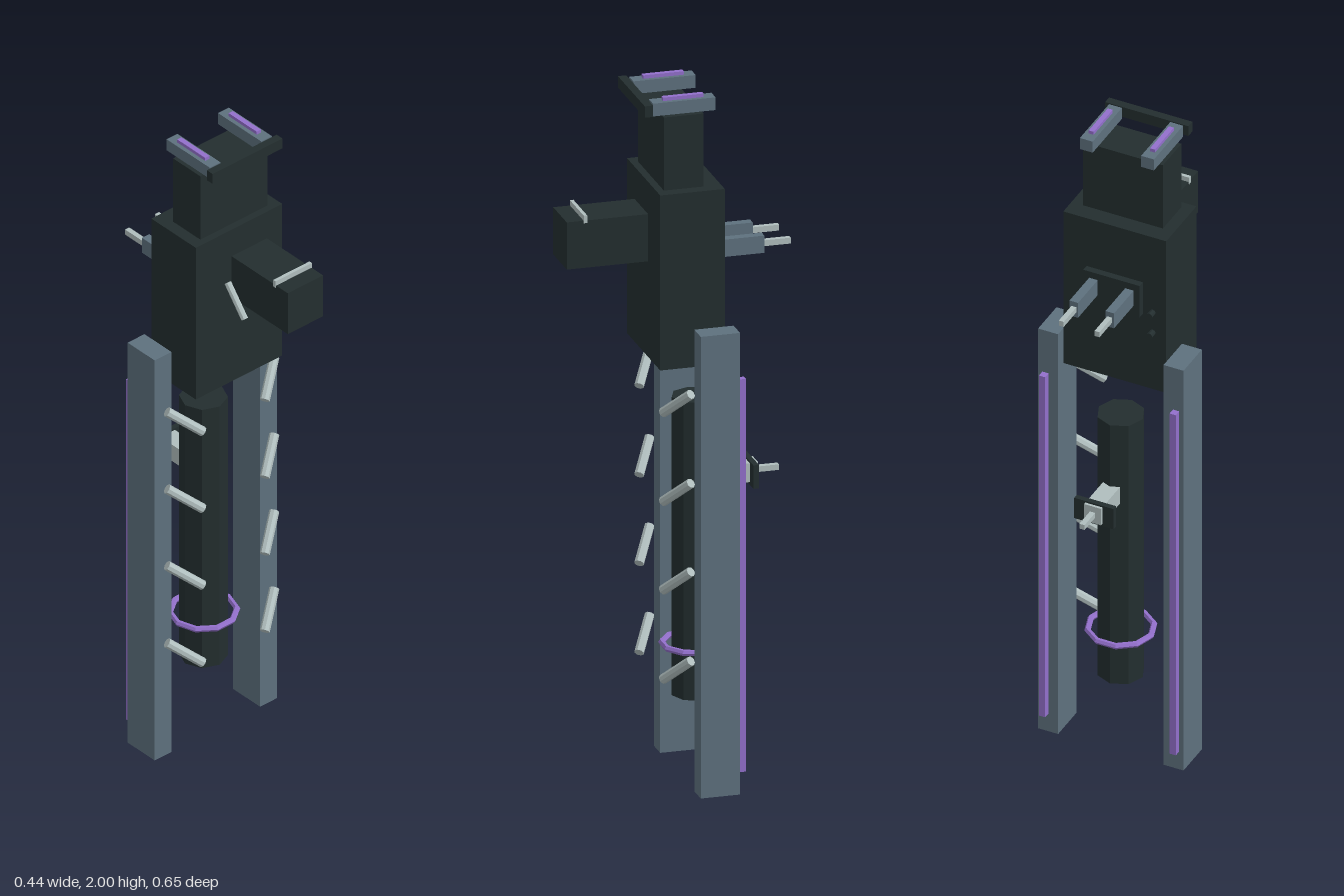
import * as THREE from 'three';

const mat = (name, color) => {
  const m = new THREE.MeshStandardMaterial({ color, flatShading: true });
  m.name = name;
  return m;
};

export function createModel() {
  const dark = mat('darkCasing', 0x232e2f);
  const slate = mat('slateMetal', 0x5e717e);
  const light = mat('paleMetal', 0xb0bebe);
  const purple = mat('purpleGlow', 0x9370cc);
  const model = new THREE.Group();
  model.name = 'model';

  const add = (name, geometry, material) => {
    const mesh = new THREE.Mesh(geometry, material);
    mesh.name = name;
    model.add(mesh);
    return mesh;
  };
  // Box given by its extents on each axis
  const box = (name, material, [x0, x1], [y0, y1], [z0, z1]) =>
    add(name, new THREE.BoxGeometry(x1 - x0, y1 - y0, z1 - z0), material)
      .position.set((x0 + x1) / 2, (y0 + y1) / 2, (z0 + z1) / 2);
  // The same box on both sides
  const pair = (name, material, [x0, x1], y, z) => {
    box(name + 'Left', material, [x0, x1], y, z);
    box(name + 'Right', material, [-x1, -x0], y, z);
  };
  // Cylinder between two points
  const rod = (name, material, from, to, radius, sides = 8) => {
    const a = new THREE.Vector3(...from), b = new THREE.Vector3(...to);
    const dir = b.clone().sub(a);
    const mesh = add(name, new THREE.CylinderGeometry(radius, radius, dir.length(), sides), material);
    mesh.position.copy(a).add(b).multiplyScalar(0.5);
    mesh.quaternion.setFromUnitVectors(new THREE.Vector3(0, 1, 0), dir.normalize());
  };

  // Main casing and neck
  box('body', dark, [-0.157, 0.157], [1.23, 1.738], [-0.108, 0.076]);
  box('neck', dark, [-0.122, 0.122], [1.738, 1.95], [-0.058, 0.055]);

  // Frame on top
  box('topFrontBar', dark, [-0.127, 0.127], [1.957, 1.99], [0.087, 0.111]);
  pair('topRail', slate, [0.074, 0.113], [1.953, 1.99], [-0.095, 0.083]);
  pair('topRailStrip', purple, [0.086, 0.101], [1.99, 2], [-0.065, 0.051]);

  // Long side legs with glowing strips on the back
  pair('leg', slate, [0.161, 0.222], [0, 1.34], [-0.132, -0.02]);
  pair('legStrip', purple, [0.19, 0.209], [0.06, 1.2], [-0.153, -0.132]);

  // Slanted rungs inside the legs
  for (const y of [0.354, 0.613, 0.87, 1.128]) {
    for (const s of [-1, 1]) {
      rod('rung', light, [s * 0.112, y - 0.038, 0.055], [s * 0.195, y + 0.038, 0], 0.014);
    }
  }

  // Central tube with a ring near its foot
  rod('centralTube', dark, [0, 0.225, -0.071], [0, 1.09, -0.071], 0.067);
  const ring = add('tubeRing', new THREE.TorusGeometry(0.092, 0.009, 6, 10), purple);
  ring.rotation.x = Math.PI / 2;
  ring.position.set(0, 0.372, -0.071);

  // Block, clip and lever on the front
  box('frontBlock', dark, [-0.039, 0.089], [1.525, 1.662], [0.09, 0.322]);
  box('frontBlockClip', light, [-0.041, 0.091], [1.655, 1.677], [0.264, 0.274]);
  rod('lever', light, [-0.062, 1.59, 0.1], [-0.062, 1.505, 0.17], 0.01);

  // Plate, prongs and buttons on the back of the casing
  box('backPlate', dark, [-0.086, 0.086], [1.473, 1.578], [-0.128, -0.108]);
  pair('prong', slate, [0.042, 0.068], [1.507, 1.557], [-0.248, -0.128]);
  pair('prongTip', light, [0.047, 0.062], [1.524, 1.541], [-0.325, -0.248]);
  for (const y of [1.42, 1.487]) {
    rod('button', dark, [-0.116, y, -0.108], [-0.116, y, -0.129], 0.009);
  }

  // Fitting on the back of the tube
  box('tubeBlock', light, [-0.026, 0.026], [0.83, 0.885], [-0.243, -0.12]);
  box('tubePlate', dark, [-0.06, 0.06], [0.822, 0.89], [-0.235, -0.219]);
  box('tubePin', light, [-0.008, 0.008], [0.85, 0.866], [-0.308, -0.243]);

  return model;
}
